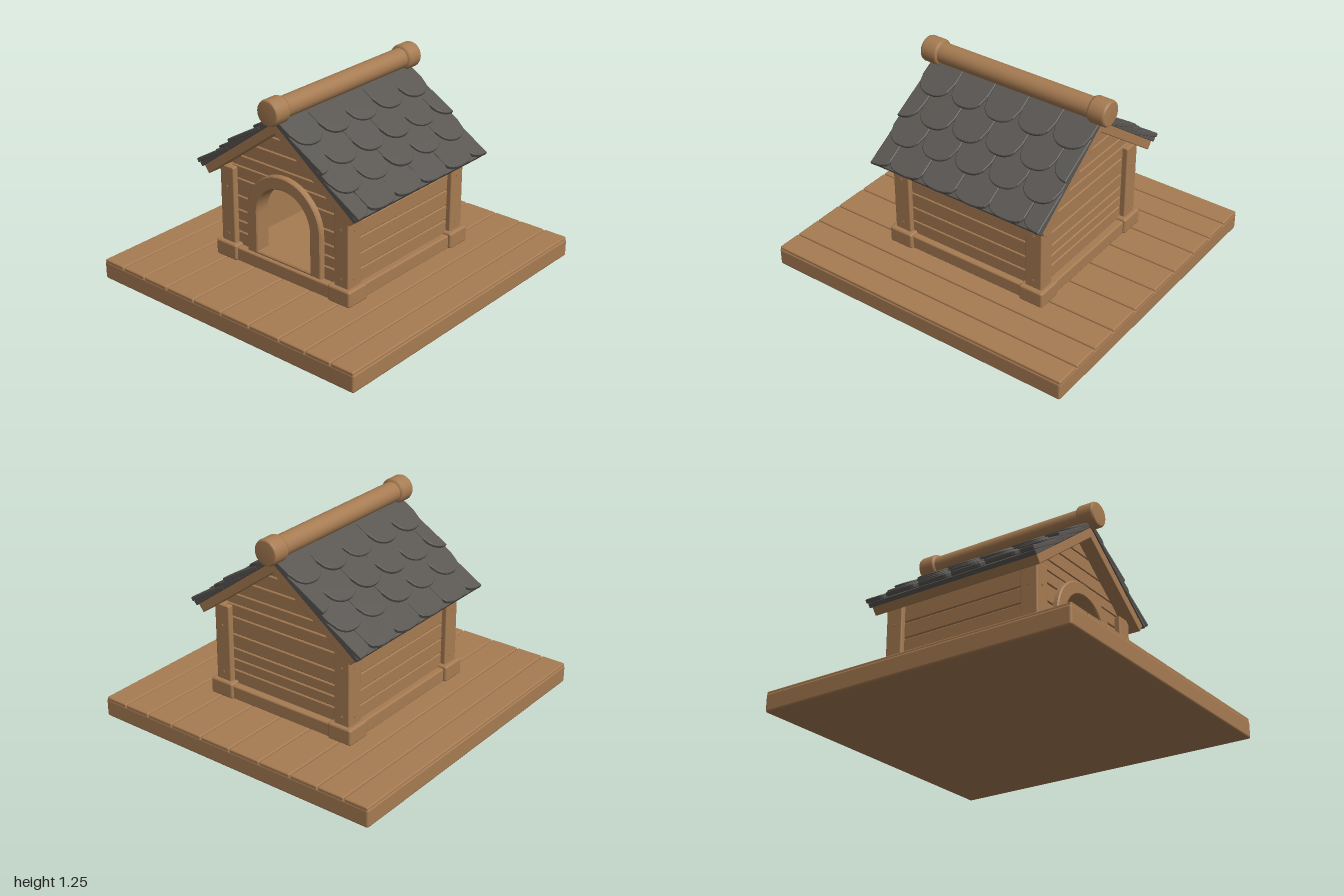
import * as THREE from 'three';
import { RoundedBoxGeometry } from 'three/addons/geometries/RoundedBoxGeometry.js';

const wood = new THREE.MeshStandardMaterial({ color: 0xa67b52 });
wood.name = 'warm wood';
const slate = new THREE.MeshStandardMaterial({ color: 0x595652 });
slate.name = 'grey slate';

function add(parent, name, geometry, material = wood, x = 0, y = 0, z = 0) {
  const mesh = new THREE.Mesh(geometry, material);
  mesh.name = name;
  mesh.position.set(x, y, z);
  parent.add(mesh);
  return mesh;
}

// Softly rounded block given by its lower and upper corners
function block(parent, name, [x0, y0, z0], [x1, y1, z1], r = 0.01, material = wood) {
  const geo = new RoundedBoxGeometry(x1 - x0, y1 - y0, z1 - z0, 2, r);
  return add(parent, name, geo, material, (x0 + x1) / 2, (y0 + y1) / 2, (z0 + z1) / 2);
}

const polygon = (points) => new THREE.Shape(points.map(([x, y]) => new THREE.Vector2(x, y)));

function extrude(shape, depth, bevel = 0) {
  return new THREE.ExtrudeGeometry(shape, {
    depth: depth - 2 * bevel, curveSegments: 20, bevelEnabled: bevel > 0,
    bevelSize: bevel, bevelThickness: bevel, bevelOffset: -bevel, bevelSegments: 1,
  }).translate(0, 0, bevel);
}

// Doorway outline: straight jambs under a half circle
const ARCH_Y = 0.47, FLOOR = 0.21;
function archPath(path, r, y0 = FLOOR) {
  path.moveTo(-r, y0);
  path.lineTo(r, y0);
  path.lineTo(r, ARCH_Y);
  path.absarc(0, ARCH_Y, r, 0, Math.PI, false);
  path.lineTo(-r, y0);
  return path;
}

// Half width of the gable wall at a height, and of the doorway behind its frame
const gableX = (y) => Math.min(0.42, (1.05 - y) / 0.745);
const doorX = (y) => (y <= ARCH_Y ? 0.24 : Math.sqrt(Math.max(0, 0.24 ** 2 - (y - ARCH_Y) ** 2)));

function gableWall(house, name, hasDoor) {
  const wall = new THREE.Group();
  wall.name = name;
  house.add(wall);
  const core = polygon([[-0.43, 0.14], [0.43, 0.14], [0.43, 0.73], [0, 1.05], [-0.43, 0.73]]);
  if (hasDoor) core.holes.push(archPath(new THREE.Path(), 0.205));
  add(wall, 'wallCore', extrude(core, 0.04), wood, 0, 0, 0.425);
  const rows = [0.19, 0.29, 0.36, 0.43, 0.52, 0.63, 0.71, 0.78, 0.87, 0.96, 1.04];
  for (let i = 0; i + 1 < rows.length; i++) {
    const a = rows[i] + 0.002, b = rows[i + 1] - 0.002;
    if (hasDoor && b < 0.712) {
      for (const s of [-1, 1]) {
        const pts = [[s * doorX(a), a], [s * 0.42, a], [s * 0.42, b], [s * doorX(b), b]];
        add(wall, 'wallBoard', extrude(polygon(s > 0 ? pts : pts.reverse()), 0.03, 0.005), wood, 0, 0, 0.455);
      }
    } else {
      const pts = [[-gableX(a), a], [gableX(a), a], [gableX(b), b], [-gableX(b), b]];
      add(wall, 'wallBoard', extrude(polygon(pts), 0.03, 0.005), wood, 0, 0, 0.455);
    }
  }
  return wall;
}

// Scalloped slate; u0 and u1 choose the whole tile or one half of it
function tileGeometry(width, length, depth, u0, u1) {
  const pts = [];
  for (let i = 0; i <= 14; i++) {
    const u = u0 + ((u1 - u0) * i) / 14;
    pts.push([(u * width) / 2, -length + depth * (1 - Math.sqrt(1 - Math.abs(u) ** 2.4))]);
  }
  pts.push([(u1 * width) / 2, 0], [(u0 * width) / 2, 0]);
  return extrude(polygon(pts), 0.026, 0.004);
}

// One roof slope: local x runs along the ridge, y up the slope, z outward
function roofSlope(name) {
  const slope = new THREE.Group();
  slope.name = name;
  const panel = new THREE.Group();
  panel.name = 'roofPanel';
  const c = 0.802, s = 0.597;
  panel.quaternion.setFromRotationMatrix(new THREE.Matrix4().makeBasis(
    new THREE.Vector3(0, 0, -1), new THREE.Vector3(-c, s, 0), new THREE.Vector3(s, c, 0)));
  panel.position.y = 1.157;
  slope.add(panel);
  block(panel, 'roofDeck', [-0.57, -0.73, -0.1], [0.57, -0.03, -0.04], 0.006);
  block(panel, 'slateBacking', [-0.578, -0.745, -0.046], [0.578, -0.02, -0.018], 0.004, slate);
  const w = 1.16 / 5;
  [0.26, 0.44, 0.6, 0.755].forEach((bottom, row) => {
    const length = row ? 0.28 : 0.25;
    const depth = row === 3 ? 0.05 : 0.11;
    const staggered = row % 2;
    for (let i = 0; i < 5 + staggered; i++) {
      const u0 = staggered && i === 0 ? 0 : -1;
      const u1 = staggered && i === 5 ? 0 : 1;
      const x = -0.58 + w * (i + (staggered ? 0 : 0.5));
      const tile = add(panel, 'roofTile', tileGeometry(w - 0.002, length, depth, u0, u1), slate,
        x, length - bottom, -0.045);
      tile.rotation.x = -0.11 - 0.008 * Math.sin(i * 2.3 + row * 1.7);
    }
  });
  return slope;
}

export function createModel() {
  const model = new THREE.Group();
  model.name = 'kennel';

  // Platform with planks running front to back
  block(model, 'platform', [-0.95, 0, -1], [0.95, 0.112, 1], 0.014);
  const seams = [-0.948, -0.79, -0.615, -0.43, -0.215, 0, 0.21, 0.43, 0.615, 0.79, 0.948];
  for (let i = 0; i < 10; i++) {
    block(model, 'platformPlank', [seams[i] + 0.003, 0.09, -0.998], [seams[i + 1] - 0.003, 0.125, 0.998], 0.008);
  }

  const house = new THREE.Group();
  house.name = 'house';
  house.position.z = -0.03;
  model.add(house);
  block(house, 'floor', [-0.43, 0.12, -0.45], [0.43, 0.2, 0.45], 0.005);

  // Front and back walls
  gableWall(house, 'frontWall', true);
  gableWall(house, 'backWall', false).rotation.y = Math.PI;

  // Arched door frame
  const frame = archPath(new THREE.Shape(), 0.28);
  frame.holes.push(archPath(new THREE.Path(), 0.2, FLOOR + 0.02));
  add(house, 'doorFrame', extrude(frame, 0.1, 0.007), wood, 0, 0, 0.42);

  // Side walls, sills, corner posts and feet
  const rows = [0.19, 0.29, 0.385, 0.485, 0.585, 0.71];
  for (const s of [-1, 1]) {
    const span = (a, b) => [Math.min(s * a, s * b), Math.max(s * a, s * b)];
    const [w0, w1] = span(0.4, 0.43);
    block(house, 'sideWallCore', [w0, 0.14, -0.45], [w1, 0.72, 0.45], 0.003);
    const [b0, b1] = span(0.42, 0.452);
    for (let i = 0; i < 5; i++) {
      block(house, 'sideBoard', [b0, rows[i] + 0.002, -0.43], [b1, rows[i + 1] - 0.002, 0.43], 0.007);
    }
    const [s0, s1] = span(0.4, 0.49);
    block(house, 'sideSill', [s0, 0.12, -0.42], [s1, 0.207, 0.42]);
    const [e0, e1] = s > 0 ? [0.44, 0.53] : [-0.53, -0.44];
    block(house, 'endSill', [-0.38, 0.12, e0], [0.38, 0.207, e1]);
    for (const t of [-1, 1]) {
      const corner = new THREE.Group();
      corner.name = 'corner';
      corner.position.set(s * 0.43, 0, t * 0.465);
      house.add(corner);
      block(corner, 'post', [-0.052, 0.15, -0.055], [0.052, 0.7, 0.055], 0.008);
      block(corner, 'foot', [-0.08, 0.12, -0.08], [0.08, 0.222, 0.08], 0.014);
      // Wooden pegs
      for (const y of [0.27, 0.57]) {
        const peg = new THREE.CylinderGeometry(0.009, 0.009, 0.008, 10);
        add(corner, 'peg', peg, wood, 0, y, t * 0.055).rotation.x = Math.PI / 2;
        add(corner, 'peg', peg, wood, s * 0.052, y, 0).rotation.z = Math.PI / 2;
      }
    }
  }

  // Roof
  const right = roofSlope('leftRoofSlope');
  const left = roofSlope('rightRoofSlope');
  left.rotation.y = Math.PI;
  house.add(right, left);

  // Ridge log with a thicker collar at each end
  const ridge = new THREE.Group();
  ridge.name = 'ridgeLog';
  ridge.position.y = 1.168;
  house.add(ridge);
  add(ridge, 'log', new THREE.CylinderGeometry(0.062, 0.062, 1.2, 24)).rotation.x = Math.PI / 2;
  const profile = [[0, 0], [0.066, 0], [0.074, 0.006], [0.078, 0.016], [0.078, 0.1], [0.073, 0.112], [0.06, 0.115]];
  const collar = new THREE.LatheGeometry(profile.map(([x, y]) => new THREE.Vector2(x, y)), 28);
  for (const t of [-1, 1]) {
    add(ridge, 'logCollar', collar, wood, 0, 0, t * 0.63).rotation.x = -t * Math.PI / 2;
  }
  return model;
}
